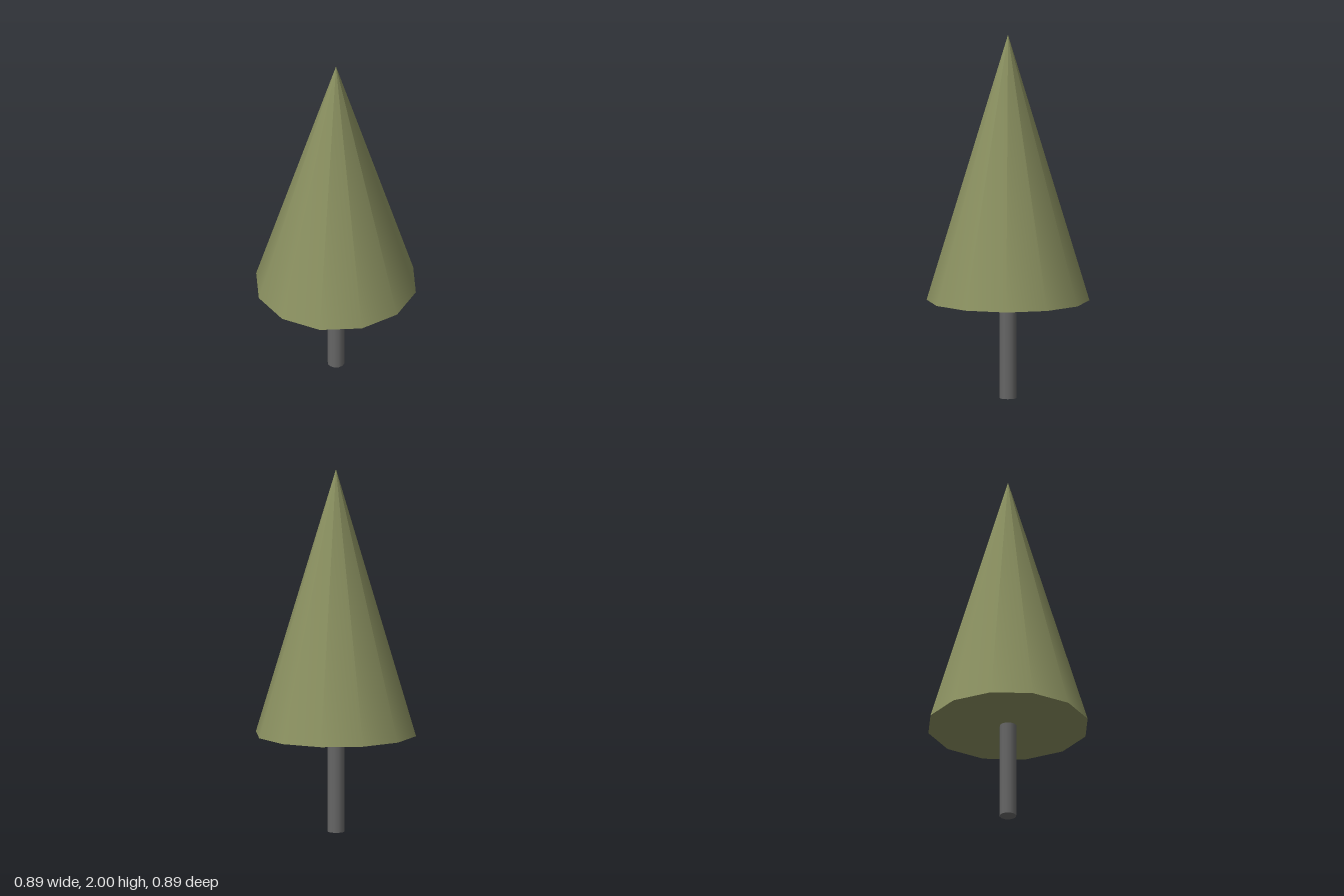
import * as THREE from 'three';

const SIDES = 12;
const TRUNK_TOP = 0.54;
const TREE_TOP = 2;

function part(name, geometry, color, y) {
  const mesh = new THREE.Mesh(geometry, new THREE.MeshStandardMaterial({ color }));
  mesh.name = name;
  mesh.position.y = y;
  return mesh;
}

export function createModel() {
  const tree = new THREE.Group();
  tree.name = 'tree';

  // Slim round trunk standing on the ground
  const trunk = new THREE.CylinderGeometry(0.046, 0.046, TRUNK_TOP, SIDES);
  tree.add(part('trunk', trunk, 0x666666, TRUNK_TOP / 2));

  // Single smooth cone of foliage, closed underneath
  const height = TREE_TOP - TRUNK_TOP;
  const foliage = new THREE.ConeGeometry(0.443, height, SIDES);
  tree.add(part('foliage', foliage, 0x8a9060, TRUNK_TOP + height / 2));

  return tree;
}
